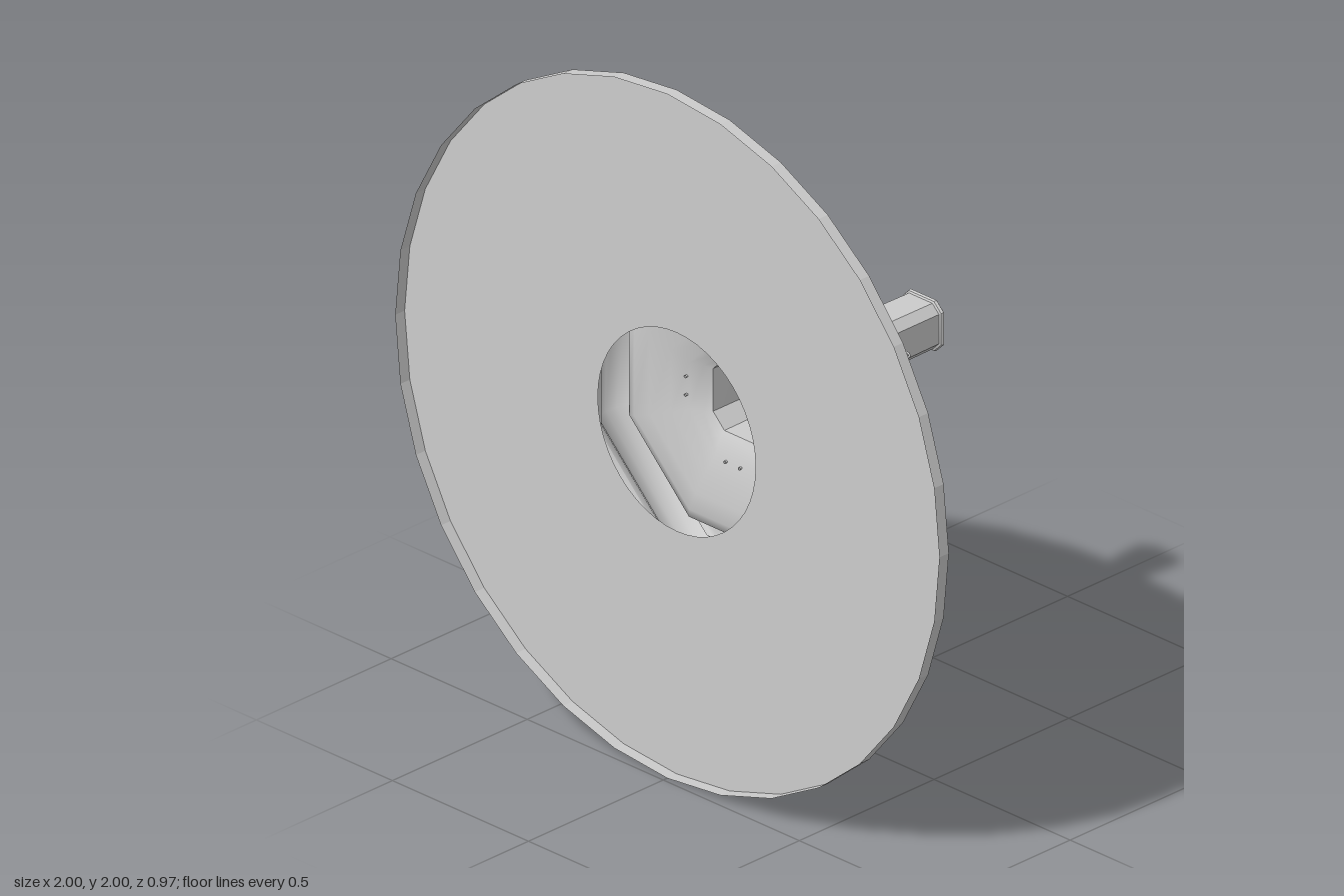
import * as THREE from 'three';
import { toCreasedNormals } from 'three/addons/utils/BufferGeometryUtils.js';

const material = new THREE.MeshStandardMaterial({ color: 0xcccccc, side: THREE.DoubleSide });
const REGULAR = Math.tan(Math.PI / 8);

function add(parent, name, geometry) {
  const mesh = new THREE.Mesh(geometry, material);
  mesh.name = name;
  parent.add(mesh);
  return mesh;
}

// Eight-sided loft along z from [half width, z, flat-to-width ratio] rows
function loft8(profile, ratio, crease) {
  const positions = [], index = [];
  for (const [r, z, k = ratio] of profile) {
    const f = r * k;
    for (const [x, y] of [[r, -f], [r, f], [f, r], [-f, r], [-r, f], [-r, -f], [-f, -r], [f, -r]]) {
      positions.push(x, y, z);
    }
  }
  for (let i = 0; i < profile.length - 1; i++) {
    for (let j = 0; j < 8; j++) {
      const a = i * 8 + j, b = i * 8 + (j + 1) % 8;
      index.push(a, b, b + 8, a, b + 8, a + 8);
    }
  }
  const geometry = new THREE.BufferGeometry();
  geometry.setAttribute('position', new THREE.Float32BufferAttribute(positions, 3));
  geometry.setIndex(index);
  return toCreasedNormals(geometry, crease);
}

function tube(points, radius, segments) {
  const curve = new THREE.CatmullRomCurve3(points.map((p) => new THREE.Vector3(...p)));
  return new THREE.TubeGeometry(curve, segments, radius, 6);
}

function polygon(Type, points) {
  return new Type(points.map((p) => new THREE.Vector2(...p)));
}

export function createModel() {
  const model = new THREE.Group();
  model.name = 'mountedOctagonFixture';
  const body = new THREE.Group();
  body.name = 'fixture';
  body.position.y = 1;
  model.add(body);

  // Large round tray: a thin sheet with a central opening and a shallow edge towards the front
  const plate = new THREE.Shape();
  for (let i = 0; i < 32; i++) {
    const a = i / 32 * Math.PI * 2;
    plate[i ? 'lineTo' : 'moveTo'](Math.cos(a), Math.sin(a));
  }
  plate.closePath();
  plate.holes.push(new THREE.Path().absarc(0, 0, 0.29, 0, Math.PI * 2, true));
  add(body, 'roundPlate', new THREE.ShapeGeometry(plate, 24)).position.z = 0.45;
  const edge = new THREE.CylinderGeometry(1, 1, 0.035, 32, 1, true).rotateX(Math.PI / 2);
  add(body, 'plateEdge', toCreasedNormals(edge, 0.1)).position.z = 0.4675;

  // Octagonal housing with a waist, a bulge and a bevelled rim
  add(body, 'housing', loft8([
    [0.485, 0.135], [0.503, 0.165], [0.508, 0.2], [0.498, 0.235], [0.472, 0.265], [0.432, 0.295],
    [0.4, 0.325], [0.39, 0.35], [0.397, 0.375], [0.412, 0.4], [0.42, 0.42], [0.42, 0.45],
  ], REGULAR, 0.9));
  add(body, 'rim', loft8([
    [0.392, 0.15], [0.385, 0.12], [0.39, 0.107], [0.41, 0.101], [0.492, 0.101], [0.505, 0.106],
    [0.511, 0.116], [0.511, 0.135], [0.485, 0.135],
  ], REGULAR, 0.9));

  // Bowl behind the rim, its floor drawn in towards the sleeve
  add(body, 'bowl', loft8([
    [0.104, 0.21, 0.6], [0.125, 0.223, 0.54], [0.165, 0.237], [0.22, 0.249], [0.29, 0.259],
    [0.345, 0.26], [0.375, 0.248], [0.39, 0.215], [0.392, 0.15],
  ], REGULAR, 0.9));

  // Hollow chamfered stem with a wider sleeve at its base and a domed end cap
  add(body, 'sleeve', loft8([
    [0.071, 0.062], [0.08, 0.068], [0.095, 0.08], [0.102, 0.092], [0.102, 0.11], [0.104, 0.21],
  ], 0.6, 0.6));
  add(body, 'stem', loft8([[0.067, -0.46], [0.072, 0.07]], 0.64, 0.6));
  add(body, 'endCap', loft8([
    [0.001, -0.485], [0.04, -0.483], [0.066, -0.474], [0.074, -0.466], [0.072, -0.458], [0.067, -0.455],
  ], 0.64, 0.6));

  // Wire ornaments and paired rods repeated on all four sides
  const half = [
    [0.145, 0.074], [0.165, 0.08], [0.176, 0.1], [0.165, 0.122], [0.13, 0.13],
    [0.092, 0.138], [0.072, 0.16], [0.055, 0.182], [0.03, 0.19],
  ];
  const loop = [
    ...half.map(([z, r]) => [0, r, z]),
    ...half.slice().reverse().map(([z, r]) => [0, r, -z]),
  ];
  for (let i = 0; i < 4; i++) {
    const side = new THREE.Group();
    side.name = 'sideOrnament';
    side.rotation.z = i * Math.PI / 2;
    body.add(side);
    add(side, 'wireLoop', tube(loop, 0.003, 80)).position.z = -0.125;
    add(side, 'thorn', new THREE.LatheGeometry(polygon(THREE.Path, [
      [0.014, 0.066], [0.01, 0.085], [0.006, 0.12], [0.006, 0.17], [0.01, 0.188], [0.006, 0.205], [0.004, 0.247], [0, 0.25],
    ]).getPoints(), 8)).position.z = -0.125;
    // Rods reach out to the rim and bend down into the bowl floor
    for (const x of [-0.027, 0.027]) {
      add(side, 'bentRod', tube([
        [x, 0.365, 0.112], [x, 0.3, 0.112], [x, 0.22, 0.113], [x, 0.185, 0.125], [x, 0.175, 0.17], [x, 0.172, 0.245],
      ], 0.004, 30));
      add(side, 'rodTip', new THREE.ConeGeometry(0.007, 0.04, 8)).position.set(x, 0.382, 0.112);
    }
  }

  // Square bracket frame with a recessed panel
  const frame = polygon(THREE.Shape, [[-0.095, 0.4], [0.095, 0.4], [0.095, 0.572], [-0.095, 0.572]]);
  frame.holes.push(polygon(THREE.Path, [[-0.057, 0.42], [-0.057, 0.535], [0.057, 0.535], [0.057, 0.42]]));
  add(body, 'bracketFrame', new THREE.ExtrudeGeometry(frame, { depth: 0.058, bevelEnabled: false }))
    .position.z = 0.392;
  add(body, 'bracketPanel', new THREE.BoxGeometry(0.12, 0.12, 0.02)).position.set(0, 0.478, 0.437);

  // Small hook below the bracket
  add(body, 'hook', tube([[0, 0.385, 0.358], [0, 0.41, 0.36], [0, 0.435, 0.367], [0, 0.452, 0.378]], 0.004, 12));

  return model;
}
